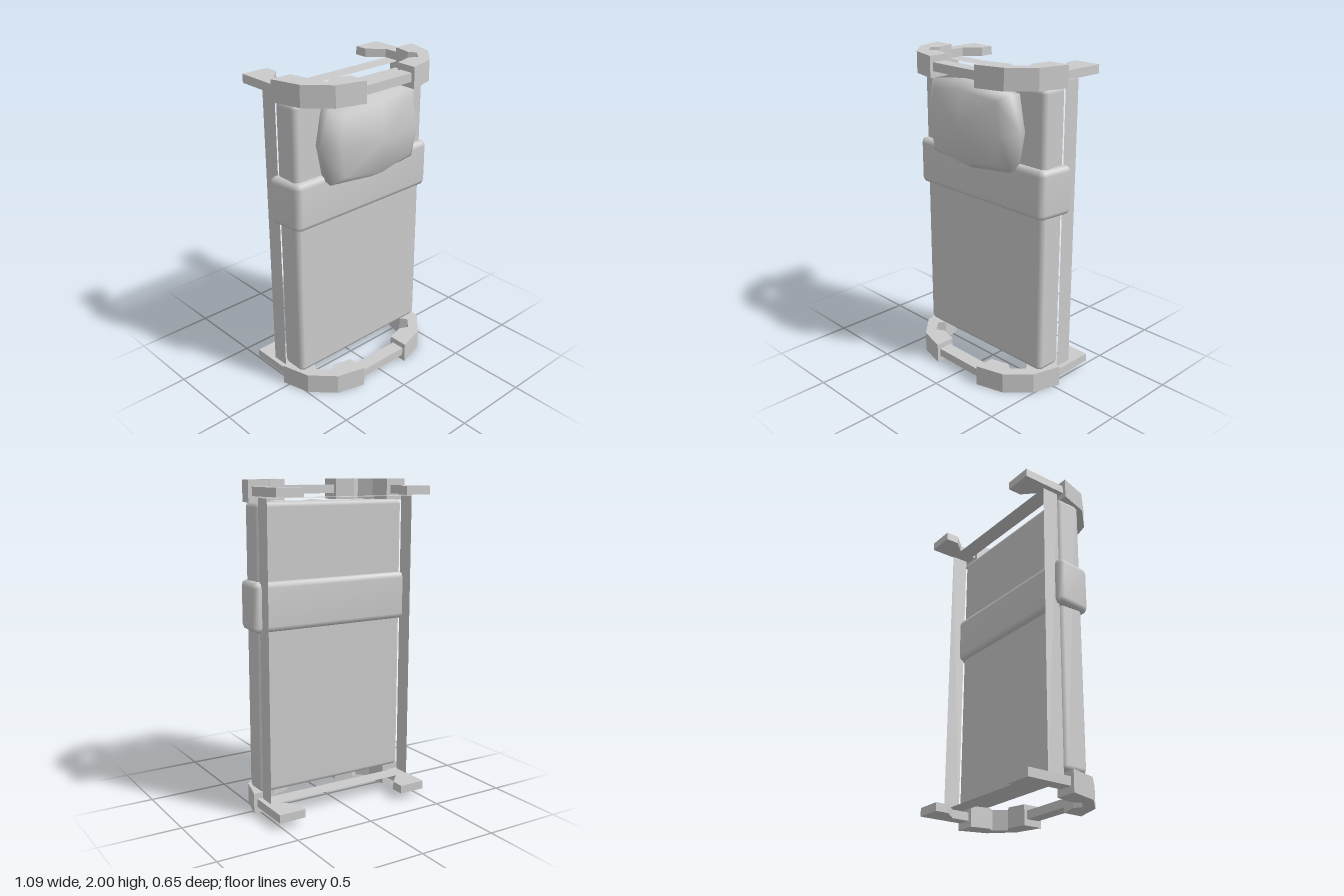
import * as THREE from 'three';
import { RoundedBoxGeometry } from 'three/addons/geometries/RoundedBoxGeometry.js';
import { mergeVertices } from 'three/addons/utils/BufferGeometryUtils.js';

const grey = new THREE.MeshStandardMaterial({ color: 0xcccccc });
const greyDouble = new THREE.MeshStandardMaterial({ color: 0xcccccc, side: THREE.DoubleSide });

export function createModel() {
  const model = new THREE.Group();

  const add = (name, geometry, x = 0, y = 0, z = 0, material = grey) => {
    const mesh = new THREE.Mesh(geometry, material);
    mesh.name = name;
    mesh.position.set(x, y, z);
    model.add(mesh);
    return mesh;
  };

  // Slab with an outline in x and z, from y0 up to y1
  const slab = (name, points, side, y0, y1) => {
    const shape = new THREE.Shape(points.map(([x, z]) => new THREE.Vector2(x * side, z)));
    const geometry = new THREE.ExtrudeGeometry(shape, { depth: y1 - y0, bevelEnabled: false });
    geometry.rotateX(Math.PI / 2);
    add(name, geometry, 0, y1, 0);
  };

  // Mattress with chamfered edges
  add('mattress', new RoundedBoxGeometry(1.01, 1.745, 0.17, 1, 0.028), 0, 1.0025, 0.015);

  // Folded blanket: soft band with ends that narrow toward the front
  let band = new RoundedBoxGeometry(1.1, 0.3, 0.236, 1, 0.035);
  const p = band.attributes.position;
  for (let i = 0; i < p.count; i++) {
    p.setX(i, p.getX(i) * (1 - 0.045 * (p.getZ(i) / 0.236 + 0.5)));
  }
  band.deleteAttribute('normal');
  band.deleteAttribute('uv');
  band = mergeVertices(band, 1e-4);
  band.computeVertexNormals();
  add('blanket', band, 0, 1.272, 0.018);

  add('pillow', pillowGeometry(), 0, 1.612, 0);

  // Thin-walled bed frame, open front and back
  for (const side of [1, -1]) {
    const wall = new THREE.PlaneGeometry(0.108, 1.8);
    wall.rotateY(side * Math.PI / 2);
    add('frameSide', wall, side * 0.5, 1, -0.124, greyDouble);

    const end = new THREE.PlaneGeometry(1, 0.108);
    end.rotateX(-side * Math.PI / 2);
    add('frameEnd', end, 0, 1 + side * 0.9, -0.124, greyDouble);
  }

  // Head and foot: curved guards, crossbar and hooked legs
  const guard = [
    [0.545, -0.04], [0.41, -0.04], [0.385, 0.08], [0.415, 0.125], [0.35, 0.195],
    [0.3, 0.165], [0.184, 0.195], [0.184, 0.325], [0.362, 0.275], [0.495, 0.14],
  ];
  const leg = [
    [0.522, -0.035], [0.522, -0.328], [0.35, -0.328], [0.35, -0.243], [0.437, -0.155], [0.437, -0.035],
  ];
  for (const end of ['foot', 'head']) {
    const guardY = end === 'foot' ? 0 : 1.872;
    const barY = end === 'foot' ? 0.04 : 1.91;
    for (const side of [1, -1]) {
      slab(end + 'Guard', guard, side, guardY, guardY + 0.128);
      slab(end + 'Leg', leg, side, barY, barY + 0.052);
    }
    add(end + 'Crossbar', new THREE.BoxGeometry(0.37, 0.052, 0.088), 0, barY + 0.026, 0.26);
  }

  return model;
}

// Cushion from eight-sided rings, stacked from back to front and closed by a centre point
function pillowGeometry() {
  const outline = [
    [0.375, 0], [0.33, 0.225], [0, 0.267], [-0.33, 0.225],
    [-0.375, 0], [-0.33, -0.225], [0, -0.267], [0.33, -0.225],
  ];
  // Each ring: scale, then z for side, corner and end points
  const rings = [
    [0.94, 0.08, 0.08, 0.08],
    [1, 0.15, 0.185, 0.175],
    [0.8, 0.252, 0.238, 0.266],
  ];
  const positions = [];
  const index = [];
  for (const [scale, zSide, zCorner, zEnd] of rings) {
    outline.forEach(([x, y], i) => {
      const z = i % 2 ? zCorner : i % 4 ? zEnd : zSide;
      positions.push(x * scale, y * scale, z);
    });
  }
  positions.push(0, 0, 0.08, 0, 0, 0.29);
  for (let i = 0; i < 8; i++) {
    const j = (i + 1) % 8;
    for (let r = 0; r < 2; r++) {
      const a = r * 8;
      index.push(a + i, a + j, a + 8 + j, a + i, a + 8 + j, a + 8 + i);
    }
    index.push(j, i, 24, 16 + i, 16 + j, 25);
  }
  const geometry = new THREE.BufferGeometry();
  geometry.setAttribute('position', new THREE.Float32BufferAttribute(positions, 3));
  geometry.setIndex(index);
  geometry.computeVertexNormals();
  return geometry;
}
